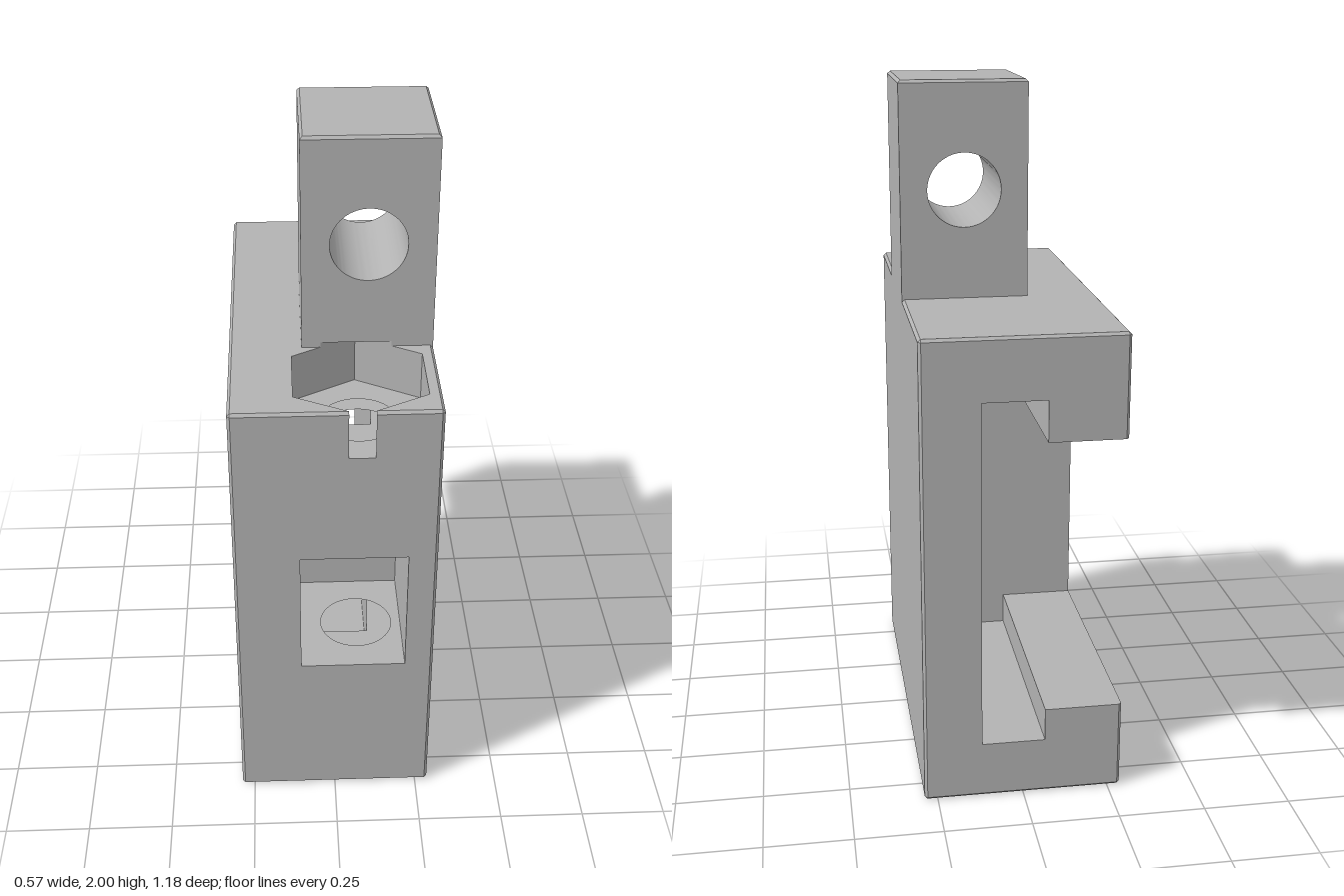
import * as THREE from 'three';
import { mergeGeometries, toCreasedNormals } from 'three/addons/utils/BufferGeometryUtils.js';

const X = 0.2875, Z = 0.59;           // half width and half depth of the body
const TOP = 1.375, BEVEL = 0.008;
const SCREW = [0.07, 0.4, 0.107];     // x, z, radius of the vertical bore
const TOWER = { x0: -0.083, x1: X, z0: -0.125, z1: 0.247 };

// Closed plan shape from [x, z] points; the body's outer corners get a tiny chamfer.
function plan(points, bore) {
  const out = [];
  points.forEach(([x, z], i) => {
    if (Math.abs(x) === X && Math.abs(z) === Z) {
      const n = points.length;
      for (const [nx, nz] of [points[(i + n - 1) % n], points[(i + 1) % n]]) {
        out.push(new THREE.Vector2(x + Math.sign(nx - x) * BEVEL, -(z + Math.sign(nz - z) * BEVEL)));
      }
    } else out.push(new THREE.Vector2(x, -z));
  });
  const shape = new THREE.Shape(out);
  if (bore) shape.holes.push(new THREE.Path().absarc(SCREW[0], -SCREW[1], SCREW[2], 0, Math.PI * 2, true));
  return shape;
}

// Horizontal slab of a plan between two heights.
function slab(shape, y0, y1) {
  const g = new THREE.ExtrudeGeometry(shape, { depth: y1 - y0, bevelEnabled: false, curveSegments: 48 });
  return g.rotateX(-Math.PI / 2).translate(0, y0, 0);
}

// Pull the vertices at one height inside a smaller rectangle to bevel the rim.
function bevelRim(g, y, { x0, x1, z0, z1 }) {
  const p = g.attributes.position;
  for (let i = 0; i < p.count; i++) {
    if (Math.abs(p.getY(i) - y) > 1e-4) continue;
    p.setX(i, THREE.MathUtils.clamp(p.getX(i), x0 + BEVEL, x1 - BEVEL));
    p.setZ(i, THREE.MathUtils.clamp(p.getZ(i), z0 + BEVEL, z1 - BEVEL));
  }
  return g;
}

function part(name, geometries, material) {
  const plain = geometries.map((g) => {
    const flat = g.index ? g.toNonIndexed() : g;
    flat.clearGroups();
    return flat;
  });
  const mesh = new THREE.Mesh(toCreasedNormals(mergeGeometries(plain), 0.4), material);
  mesh.name = name;
  return mesh;
}

export function createModel() {
  const grey = new THREE.MeshStandardMaterial({ color: 0xb3b3b3 });
  grey.name = 'grey';
  const group = new THREE.Group();
  group.name = 'clampBlock';

  const inner = 0.12, lip = -0.063, end = 0.19;   // rear pocket
  const front = [[X, Z], [-X, Z]];
  const solid = [[-X, -Z], [X, -Z], ...front];
  const grooved = [[-X, -Z], [lip, -Z], [lip, end], [inner, end], [inner, -Z], [X, -Z], ...front];
  const open = [[-X, end], [inner, end], [inner, -Z], [X, -Z], ...front];
  const windowed = [...open.slice(0, 5),
    [0.205, Z], [0.205, 0.208], [-0.1, 0.208], [-0.1, Z], [-X, Z]];

  // Hexagonal nut seat that breaks through the front face
  const hexR = 0.211, hexW = hexR * Math.cos(Math.PI / 6);
  const [cx, cz] = SCREW;
  const cut = (z) => hexW * (hexR - Math.abs(z - cz)) / (hexR / 2);
  const nutSeat = [[-X, -Z], [X, -Z], [X, Z], [cx + cut(Z), Z],
    [cx + hexW, cz + hexR / 2], [cx + hexW, cz - hexR / 2], [cx, cz - hexR],
    [cx - hexW, cz - hexR / 2], [cx - hexW, cz + hexR / 2], [cx - cut(Z), Z], [-X, Z]];

  const bounds = { x0: -X, x1: X, z0: -Z, z1: Z };
  group.add(part('base', [
    bevelRim(slab(plan(solid, true), 0, BEVEL), 0, bounds),
    slab(plan(solid, true), BEVEL, 0.168),
    slab(plan(grooved, true), 0.168, 0.265),
  ], grey));
  group.add(part('pocketWalls', [
    slab(plan(open, true), 0.265, 0.49),
    slab(plan(windowed, false), 0.49, 0.89),
    slab(plan(open, true), 0.89, 1.075),
  ], grey));
  group.add(part('topWithNutSeat', [
    slab(plan(grooved, true), 1.075, 1.195),
    slab(plan(solid, true), 1.195, 1.23),
    slab(plan(nutSeat), 1.23, TOP - BEVEL),
    bevelRim(slab(plan(nutSeat), TOP - BEVEL, TOP), TOP, bounds),
  ], grey));

  // Tower: foot notched by the nut seat, post with a cross hole, bevelled cap
  const { x0, x1, z0, z1 } = TOWER;
  const foot = [[x0, z0], [x1, z0], [x1, z1], [cx + cut(z1), z1], [cx, cz - hexR], [cx - cut(z1), z1], [x0, z1]];
  const footTop = 1.39, peak = 2;
  const face = new THREE.Shape([[x0, footTop], [x1, footTop], [x1, peak - BEVEL], [x0, peak - BEVEL]]
    .map(([x, y]) => new THREE.Vector2(x, y)));
  face.holes.push(new THREE.Path().absarc(0.102, 1.69, 0.107, 0, Math.PI * 2, true));
  const post = new THREE.ExtrudeGeometry(face, { depth: z1 - z0, bevelEnabled: false, curveSegments: 48 });
  post.translate(0, 0, z0);
  const cap = slab(plan([[x0, z0], [x1, z0], [x1, z1], [x0, z1]]), peak - BEVEL, peak);
  group.add(part('tower', [
    slab(plan(foot), TOP - BEVEL, footTop), post, bevelRim(cap, peak, TOWER),
  ], grey));

  return group;
}
